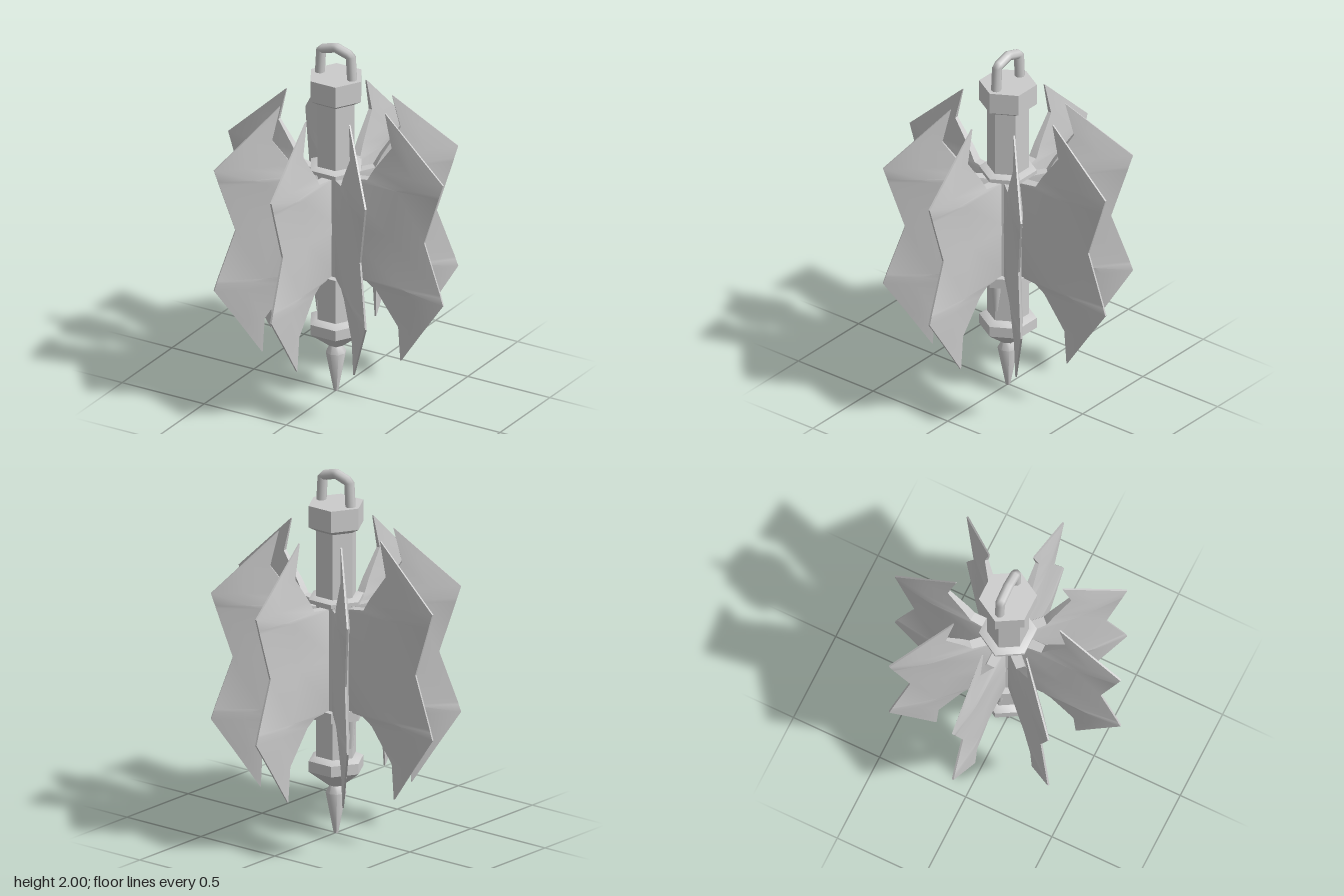
import * as THREE from 'three';
import { toCreasedNormals } from 'three/addons/utils/BufferGeometryUtils.js';

const material = new THREE.MeshStandardMaterial({ color: 0xcccccc });

function part(name, geometry, parent) {
  const mesh = new THREE.Mesh(geometry, material);
  mesh.name = name;
  parent.add(mesh);
  return mesh;
}

// Turned part with few sides; profile is [radius, y] from bottom to top, closed at both ends
function turned(name, profile, sides, parent) {
  const points = profile.map(([r, y]) => new THREE.Vector2(r, y));
  points.unshift(new THREE.Vector2(0, profile[0][1]));
  points.push(new THREE.Vector2(0, profile[profile.length - 1][1]));
  let geometry = new THREE.LatheGeometry(points, sides);
  geometry.rotateY(Math.PI / 2); // corners on the x axis
  geometry.deleteAttribute('normal');
  geometry.deleteAttribute('uv');
  geometry = toCreasedNormals(geometry, sides === 6 ? 0.6 : 0.9);
  return part(name, geometry, parent);
}

// Blade: six-point cross-sections stacked from the top tip to the bottom tip.
// Each row: y, inner radius, outer radius, half thickness at inner edge, half thickness at ridge
const BLADE_ROWS = [
  [1.665, 0.300, 0.303, 0.004, 0.004],
  [1.480, 0.345, 0.500, 0.010, 0.013],
  [1.335, 0.242, 0.655, 0.020, 0.024],
  [1.270, 0.205, 0.634, 0.024, 0.030],
  [1.250, 0.060, 0.628, 0.030, 0.031],
  [0.980, 0.060, 0.540, 0.032, 0.034],
  [0.700, 0.060, 0.638, 0.030, 0.031],
  [0.685, 0.200, 0.642, 0.024, 0.030],
  [0.645, 0.258, 0.655, 0.021, 0.025],
  [0.460, 0.385, 0.527, 0.010, 0.013],
  [0.268, 0.394, 0.398, 0.004, 0.004],
];

function bladeGeometry() {
  const positions = [], index = [];
  const edge = 0.005;
  for (const [y, inner, outer, tIn, tMid] of BLADE_ROWS) {
    const mid = inner + (outer - inner) * 0.58;
    const front = [[inner, tIn], [mid, tMid], [outer, Math.min(edge, tMid)]];
    const back = front.map(([r, t]) => [r, -t]).reverse();
    for (const [r, z] of [...front, ...back]) positions.push(r, y, z);
  }
  const last = (BLADE_ROWS.length - 1) * 6;
  for (let row = 0; row < BLADE_ROWS.length - 1; row++) {
    for (let j = 0; j < 6; j++) {
      const a = row * 6 + j, b = row * 6 + (j + 1) % 6;
      index.push(a, a + 6, b + 6, a, b + 6, b);
    }
  }
  for (let j = 1; j < 5; j++) index.push(0, j, j + 1, last, last + j + 1, last + j);
  const geometry = new THREE.BufferGeometry();
  geometry.setAttribute('position', new THREE.Float32BufferAttribute(positions, 3));
  geometry.setIndex(index);
  return toCreasedNormals(geometry, 0.6);
}

export function createModel() {
  const model = new THREE.Group();
  model.name = 'flangedHead';

  // Hexagonal shaft with its collars
  turned('shaft', [[0.11, 0.40], [0.11, 1.70]], 6, model);
  turned('topCap', [[0.11, 1.67], [0.152, 1.695], [0.152, 1.812]], 6, model);
  turned('upperCollar', [[0.08, 1.255], [0.152, 1.278], [0.152, 1.298], [0.11, 1.312]], 6, model);
  turned('middleCollar', [[0.152, 0.645], [0.152, 0.70]], 6, model);
  turned('lowerCollar', [[0.04, 0.265], [0.152, 0.352], [0.152, 0.41], [0.11, 0.432]], 6, model);

  // Bottom spike
  turned('spike', [[0.012, 0], [0.055, 0.225], [0.03, 0.272]], 8, model);

  // Eight ridged blades around the shaft
  const blades = new THREE.Group();
  blades.name = 'blades';
  model.add(blades);
  const blade = bladeGeometry();
  for (let i = 0; i < 8; i++) {
    part('blade', blade, blades).rotation.y = i * Math.PI / 4;
  }

  // Tapered tabs below the middle collar, one on each side
  for (const side of [-1, 1]) {
    const tab = new THREE.CylinderGeometry(0.03, 0.016, 0.165, 8);
    part('sideTab', tab, model).position.set(side * 0.095, 0.568, 0);
  }

  // Carrying loop on the cap
  const path = [[-0.1, 1.78], [-0.09, 1.945], [0, 1.972], [0.09, 1.945], [0.1, 1.78]]
    .map(([x, y]) => new THREE.Vector3(x, y, 0));
  const loop = new THREE.CurvePath();
  for (let i = 0; i < path.length - 1; i++) loop.add(new THREE.LineCurve3(path[i], path[i + 1]));
  part('topLoop', new THREE.TubeGeometry(loop, 32, 0.027, 8), model);

  return model;
}
